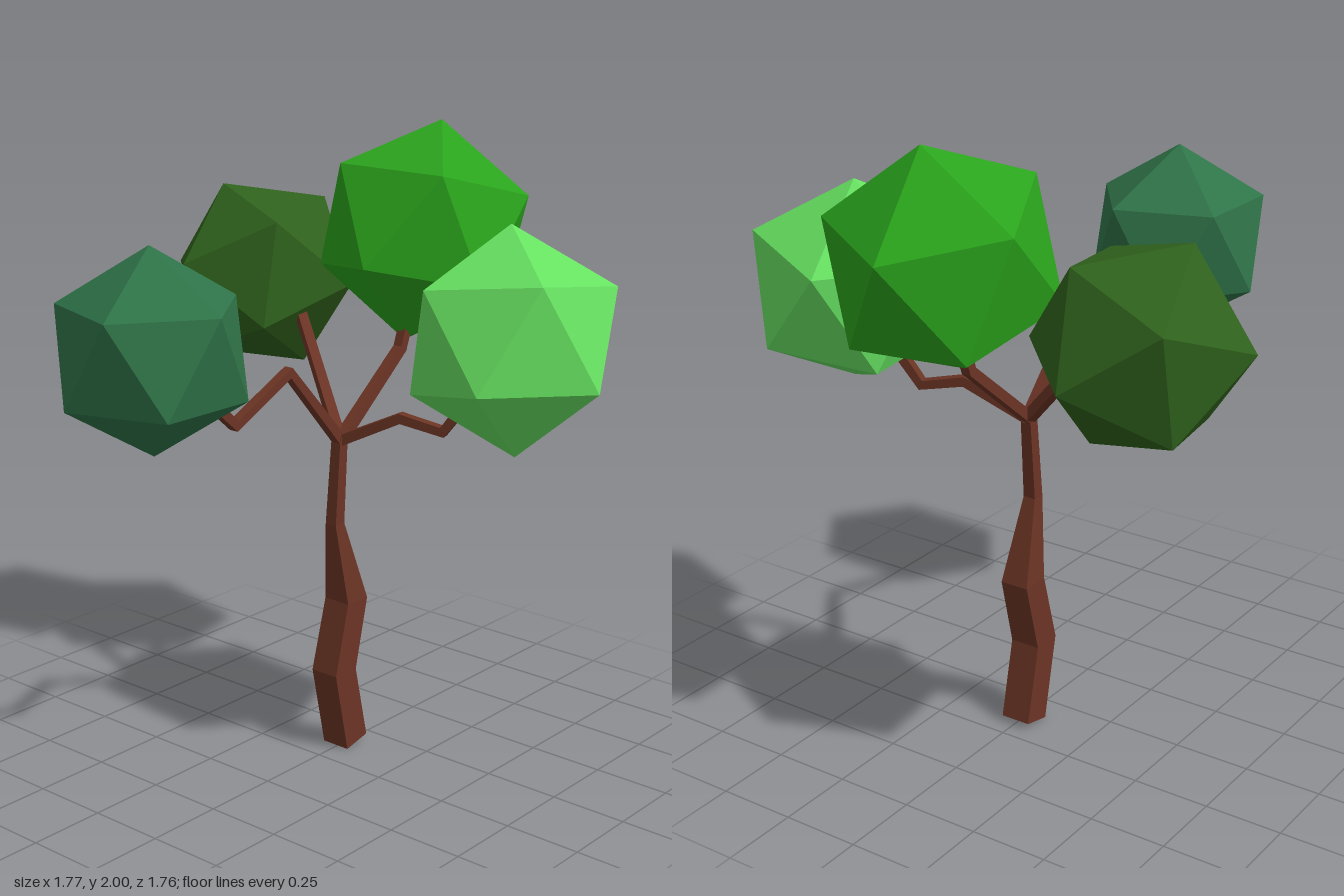
import * as THREE from 'three';

const material = (color) => new THREE.MeshStandardMaterial({ color, flatShading: true });
const bark = material(0x6b3424);

// Square limb through points lying in one vertical plane, mitred at each bend
function limb(name, points, halfWidths) {
  const p = points.map((a) => new THREE.Vector3(...a));
  const last = p.length - 1;
  const span = p[last].clone().sub(p[0]);
  const side = name === 'trunk'
    ? new THREE.Vector3(0, 0, 1)
    : new THREE.Vector3(span.z, 0, -span.x).normalize();
  const positions = [], index = [];
  p.forEach((c, i) => {
    const t = new THREE.Vector3();
    if (i > 0) t.add(c.clone().sub(p[i - 1]).normalize());
    if (i < last) t.add(p[i + 1].clone().sub(c).normalize());
    const n = side.clone().cross(t.normalize()).normalize();
    const w = halfWidths[i] ?? halfWidths[halfWidths.length - 1];
    for (const [a, b] of [[1, 1], [-1, 1], [-1, -1], [1, -1]]) {
      positions.push(...c.clone().addScaledVector(n, a * w).addScaledVector(side, b * w).toArray());
    }
    if (i === last) return;
    for (let j = 0; j < 4; j++) {
      const a = i * 4 + j, b = i * 4 + (j + 1) % 4;
      index.push(a, b, b + 4, a, b + 4, a + 4);
    }
  });
  const e = last * 4;
  index.push(0, 2, 1, 0, 3, 2, e, e + 1, e + 2, e, e + 2, e + 3);
  const indexed = new THREE.BufferGeometry();
  indexed.setAttribute('position', new THREE.Float32BufferAttribute(positions, 3));
  indexed.setIndex(index);
  const geometry = indexed.toNonIndexed();
  geometry.computeVertexNormals();
  const mesh = new THREE.Mesh(geometry, bark);
  mesh.name = name;
  return mesh;
}

// Orthonormal frame from two neighbouring corner directions
function frame(a, b) {
  const x = new THREE.Vector3(...a).normalize();
  const z = x.clone().cross(new THREE.Vector3(...b)).normalize();
  return new THREE.Matrix4().makeBasis(x, z.clone().cross(x), z);
}

// Icosahedron turned so that two adjacent corners point along tip and next
function foliage(name, color, radius, center, tip, next) {
  const g = (1 + Math.sqrt(5)) / 2;
  const turn = frame(tip, next).multiply(frame([-1, g, 0], [1, g, 0]).invert());
  const mesh = new THREE.Mesh(new THREE.IcosahedronGeometry(radius, 0), material(color));
  mesh.name = name;
  mesh.position.set(...center);
  mesh.quaternion.setFromRotationMatrix(turn);
  return mesh;
}

export function createModel() {
  const tree = new THREE.Group();
  tree.name = 'tree';

  // Crooked trunk, thinning towards the fork
  tree.add(limb('trunk', [
    [0.143, 0.012, -0.008], [0.085, 0.275, -0.008], [0.145, 0.507, -0.008],
    [0.087, 0.775, -0.008], [0.109, 1.06, -0.008],
  ], [0.05, 0.05, 0.048, 0.021, 0.018]));

  // Branches fanning out from the fork
  const fork = [0.11, 1.045, -0.008];
  const branches = {
    rightBranch: [[-0.13, 1.312, -0.012], [-0.37, 1.197, -0.012], [-0.49, 1.305, -0.012]],
    frontBranch: [[0.167, 1.143, 0.19], [0.207, 1.115, 0.325], [0.232, 1.225, 0.4]],
    backBranch: [[0.34, 1.43, -0.4]],
    leftBranch: [[0.41, 1.29, -0.008], [0.45, 1.4, -0.008]],
  };
  for (const [name, path] of Object.entries(branches)) {
    tree.add(limb(name, [fork, ...path], [0.017, 0.016]));
  }

  // Faceted foliage clumps
  tree.add(
    foliage('rightFoliage', 0x2f7348, 0.308, [-0.627, 1.453, -0.088], [0, 1, 0], [0, 0.447, 0.894]),
    foliage('frontFoliage', 0x66e060, 0.346, [0.25, 1.426, 0.543], [0.05, 0.339, -0.053], [0.315, 0.094, -0.1]),
    foliage('backFoliage', 0x2f611c, 0.326, [0.376, 1.47, -0.567], [-0.063, 0.295, -0.123], [-0.078, 0.014, -0.314]),
    foliage('leftFoliage', 0x2aa31c, 0.357, [0.535, 1.656, -0.018], [0.09, 0.345, 0], [0.348, 0.065, -0.037]),
  );
  return tree;
}
